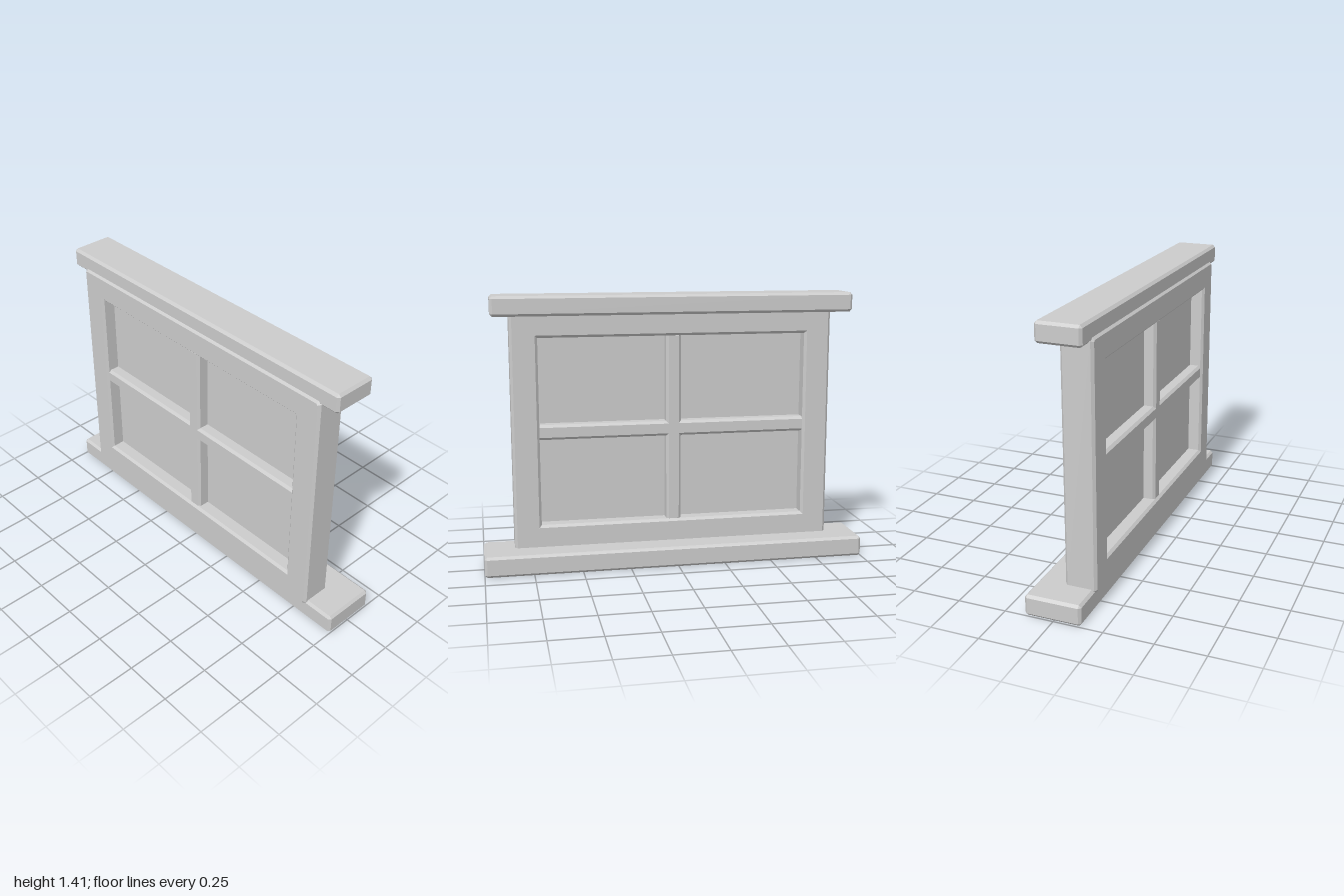
import * as THREE from 'three';
import { ConvexGeometry } from 'three/addons/geometries/ConvexGeometry.js';

const C = 0.013; // chamfer on every edge
const material = new THREE.MeshStandardMaterial({ color: 0xcccccc, flatShading: true });

function part(name, geometry, x, y, z) {
  const mesh = new THREE.Mesh(geometry, material);
  mesh.name = name;
  mesh.position.set(x, y, z);
  return mesh;
}

// Box with all twelve edges chamfered, as the hull of 24 corner points
function chamferedBox(w, h, d) {
  const half = [w / 2, h / 2, d / 2];
  const points = [];
  for (const sx of [-1, 1]) for (const sy of [-1, 1]) for (const sz of [-1, 1]) {
    for (let face = 0; face < 3; face++) {
      const p = half.map((s, axis) => (axis === face ? s : s - C));
      points.push(new THREE.Vector3(p[0] * sx, p[1] * sy, p[2] * sz));
    }
  }
  return new ConvexGeometry(points);
}

// Rectangular surround with a bevelled opening
function frameGeometry(w, h, openW, openH, depth) {
  const x = w / 2 - C, y = h / 2 - C, k = C * 0.6;
  const outline = new THREE.Shape([
    [-x + k, -y], [x - k, -y], [x, -y + k], [x, y - k],
    [x - k, y], [-x + k, y], [-x, y - k], [-x, -y + k],
  ].map(([a, b]) => new THREE.Vector2(a, b)));
  const hx = openW / 2 + C, hy = openH / 2 + C;
  outline.holes.push(new THREE.Path([
    [-hx, -hy], [-hx, hy], [hx, hy], [hx, -hy],
  ].map(([a, b]) => new THREE.Vector2(a, b))));
  const geometry = new THREE.ExtrudeGeometry(outline, {
    depth: depth - 2 * C, bevelEnabled: true, bevelSize: C, bevelThickness: C, bevelSegments: 1,
  });
  return geometry.translate(0, 0, C - depth / 2);
}

export function createModel() {
  const group = new THREE.Group();
  group.name = 'window';
  const midY = 0.71, midZ = 0.07;

  // Ledges below and above
  group.add(part('sill', chamferedBox(2, 0.108, 0.288), 0, 0.054, -0.004));
  group.add(part('lintel', chamferedBox(1.866, 0.101, 0.227), 0, 1.362, 0.0265));

  // Surround and pane
  group.add(part('frame', frameGeometry(1.68, 1.25, 1.4, 0.974, 0.162), 0, midY, midZ));
  group.add(part('pane', new THREE.BoxGeometry(1.42, 0.99, 0.012), 0, midY, midZ));

  // Crossing glazing bars
  group.add(part('horizontalBar', chamferedBox(1.426, 0.078, 0.138), 0, midY, midZ));
  group.add(part('verticalBar', chamferedBox(0.078, 1.0, 0.138), 0, midY, midZ));
  return group;
}
